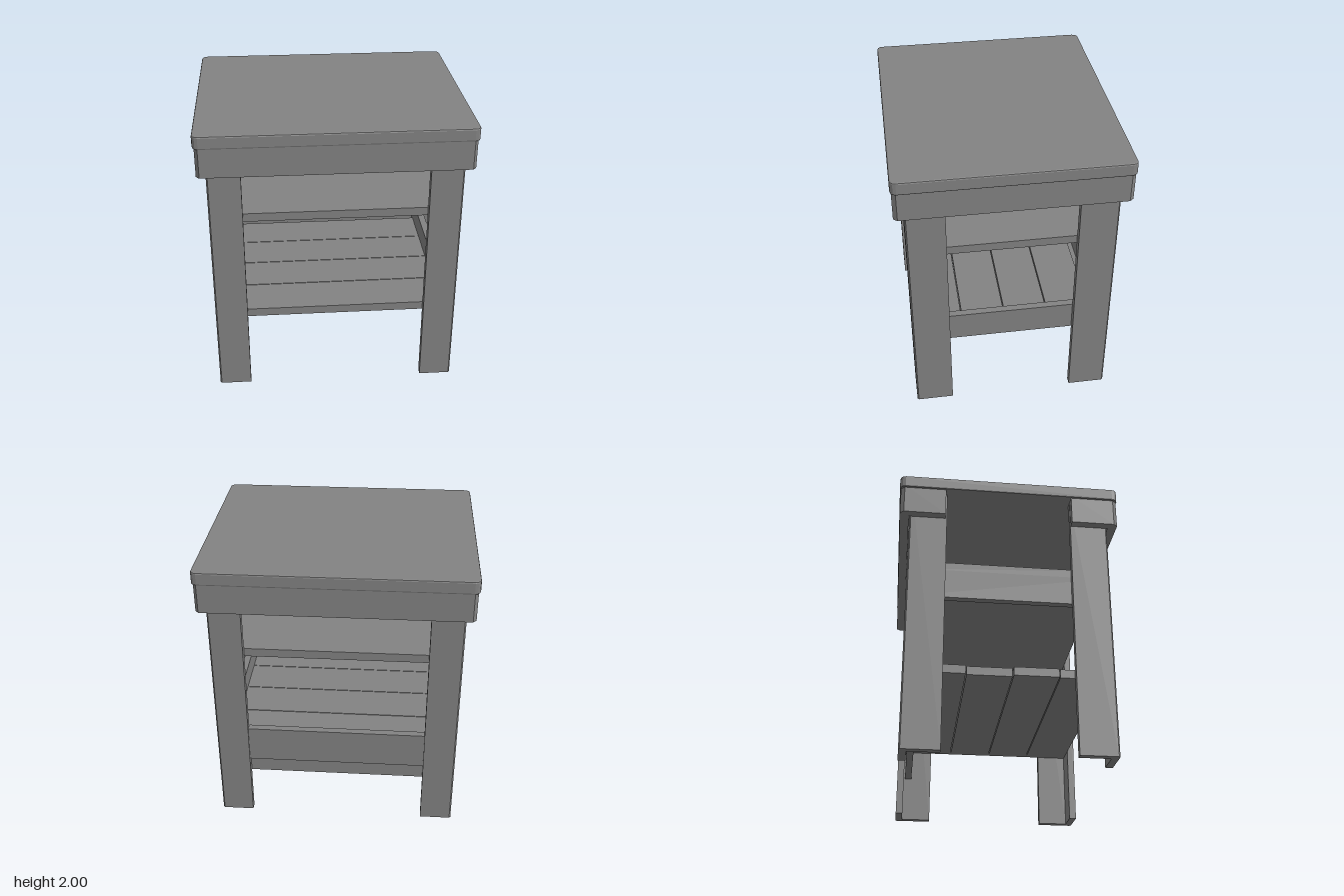
import * as THREE from 'three';

const material = new THREE.MeshStandardMaterial({ color: 0x828282, flatShading: true });

// Box given by its minimum and maximum on each axis
function board(parent, name, [x0, x1], [y0, y1], [z0, z1]) {
  const mesh = new THREE.Mesh(new THREE.BoxGeometry(x1 - x0, y1 - y0, z1 - z0), material);
  mesh.position.set((x0 + x1) / 2, (y0 + y1) / 2, (z0 + z1) / 2);
  mesh.name = name;
  parent.add(mesh);
}

// Plan outline of [x, z] points raised from y0 to y1, with an optional bevel
function raised(parent, name, plan, [y0, y1], bevel = 0) {
  const shape = new THREE.Shape(plan.map(([x, z]) => new THREE.Vector2(x, -z)));
  const geo = new THREE.ExtrudeGeometry(shape, {
    depth: y1 - y0 - 2 * bevel, bevelEnabled: bevel > 0,
    bevelSize: bevel, bevelThickness: bevel, bevelOffset: -bevel, bevelSegments: 2,
  });
  geo.rotateX(-Math.PI / 2);
  const mesh = new THREE.Mesh(geo, material);
  mesh.position.y = y0 + bevel;
  mesh.name = name;
  parent.add(mesh);
}

export function createModel() {
  const group = new THREE.Group();
  group.name = 'sideTable';

  // Table top: rounded corners and a slightly softened edge
  const topPlan = [];
  for (let q = 0; q < 4; q++) {
    const cx = q === 0 || q === 3 ? 0.88 : -0.88;
    const cz = q < 2 ? 0.735 : -0.735;
    for (let i = 0; i <= 3; i++) {
      const a = (q + i / 3) * Math.PI / 2;
      topPlan.push([cx + 0.04 * Math.cos(a), cz + 0.04 * Math.sin(a)]);
    }
  }
  raised(group, 'tableTop', topPlan, [1.91, 2], 0.01);

  // Apron with chamfered corners, open in the middle of the right side
  raised(group, 'apron', [
    [-0.908, 0.44], [-0.908, 0.74], [-0.885, 0.767], [0.885, 0.767], [0.908, 0.74],
    [0.908, -0.74], [0.885, -0.767], [-0.885, -0.767], [-0.908, -0.74], [-0.908, -0.45],
    [-0.85, -0.45], [-0.85, -0.705], [0.85, -0.705], [0.85, 0.705], [-0.85, 0.705], [-0.85, 0.44],
  ], [1.71, 1.93]);

  // Legs: angle-shaped posts with the eased corner outward
  const legPlan = [
    [0.84, 0.70], [0.625, 0.70], [0.625, 0.65], [0.80, 0.65],
    [0.80, 0.438], [0.85, 0.438], [0.85, 0.69],
  ];
  for (const sx of [1, -1]) {
    for (const sz of [1, -1]) {
      const name = (sz > 0 ? 'front' : 'back') + (sx > 0 ? 'Left' : 'Right') + 'Leg';
      raised(group, name, legPlan.map(([x, z]) => [x * sx, z * sz]), [0, 1.92]);
    }
  }

  // Upper shelf with a rail under its right end
  board(group, 'upperShelf', [-0.80, 0.80], [1.32, 1.38], [-0.65, 0.65]);
  board(group, 'upperRightRail', [-0.80, -0.75], [1.11, 1.32], [-0.65, 0.65]);

  // Lower shelf of four slats with slightly uneven right ends
  const ends = [-0.8, -0.785, -0.81, -0.8];
  const z0 = -0.59, pitch = 1.24 / ends.length;
  ends.forEach((end, i) => {
    board(group, 'lowerShelfSlat', [end, 0.75], [0.55, 0.61],
      [z0 + i * pitch, z0 + (i + 1) * pitch - (i < 3 ? 0.006 : 0)]);
  });

  // Lower rails: left side and a stepped pair at the back
  board(group, 'lowerLeftRail', [0.75, 0.80], [0.55, 0.76], [-0.64, 0.65]);
  board(group, 'lowerBackRail', [-0.625, 0.625], [0.47, 0.735], [-0.69, -0.64]);
  board(group, 'lowerBackCleat', [-0.80, 0.80], [0.33, 0.55], [-0.64, -0.59]);

  return group;
}
